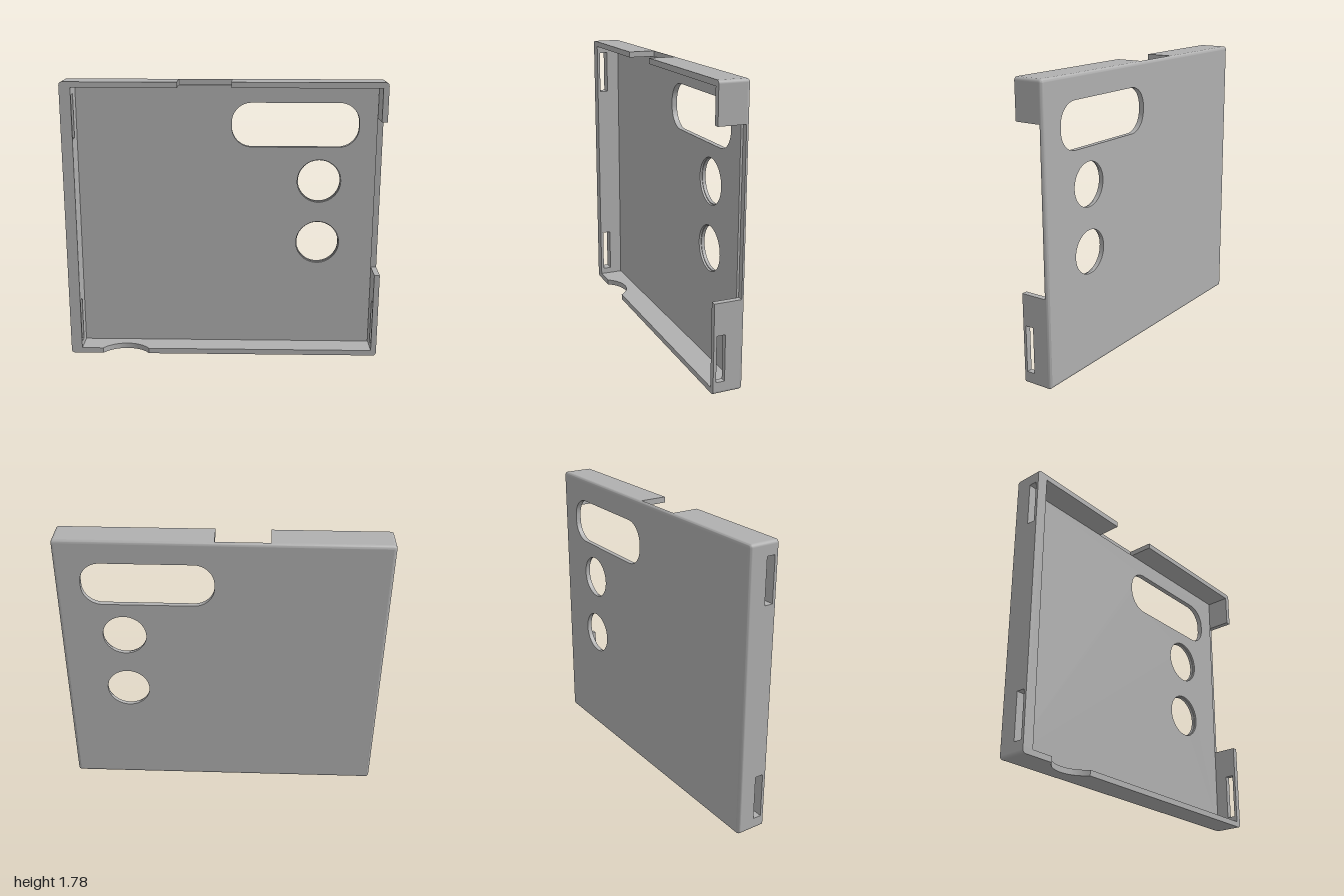
import * as THREE from 'three';
import { toCreasedNormals } from 'three/addons/utils/BufferGeometryUtils.js';

const H = 1.78, FRONT = 0.093, BACK = -0.093, R = 0.02;
const GROOVE = -0.073, FLOOR = -0.06; // bottom of the edge cut-outs, inner floor

function rect(path, x0, y0, x1, y1) {
  path.moveTo(x0, y0);
  path.lineTo(x1, y0);
  path.lineTo(x1, y1);
  path.lineTo(x0, y1);
  path.closePath();
  return path;
}

function pill(x0, y0, x1, y1, r) {
  const p = new THREE.Path();
  p.moveTo(x0 + r, y0);
  p.lineTo(x1 - r, y0);
  p.absarc(x1 - r, y0 + r, r, -Math.PI / 2, 0);
  p.lineTo(x1, y1 - r);
  p.absarc(x1 - r, y1 - r, r, 0, Math.PI / 2);
  p.lineTo(x0 + r, y1);
  p.absarc(x0 + r, y1 - r, r, Math.PI / 2, Math.PI);
  p.lineTo(x0, y0 + r);
  p.absarc(x0 + r, y0 + r, r, Math.PI, Math.PI * 1.5);
  return p;
}

// Extrude a shape along an axis from a to b
function extrude(shape, axis, a, b) {
  const g = new THREE.ExtrudeGeometry(shape, { depth: b - a, bevelEnabled: false, curveSegments: 24 });
  g.translate(0, 0, a);
  if (axis === 'x') g.rotateY(Math.PI / 2); // shape x becomes -z
  if (axis === 'y') g.rotateX(-Math.PI / 2); // shape y becomes -z
  return toCreasedNormals(g, 0.5);
}

// Flat panel with the three openings
function panel(x0, y0, x1, y1, z0, z1, r) {
  const s = rect(new THREE.Shape(), x0, y0, x1, y1);
  s.holes.push(pill(0.05, 1.355, 0.85, 1.635, 0.125));
  for (const y of [1.135, 0.728]) s.holes.push(new THREE.Path().absarc(0.607, y, r, 0, Math.PI * 2));
  return extrude(s, 'z', z0, z1);
}

// Rounded rim around the back edge, lofted from loops
function rimGeometry() {
  const profile = [];
  for (let i = 0; i <= 6; i++) {
    const t = (i / 6) * Math.PI / 2;
    profile.push([R * Math.sin(t), GROOVE - R * Math.cos(t)]);
  }
  profile.push([0, GROOVE]);
  const corners = [[1 - R, R], [1 - R, H - R], [R - 1, H - R], [R - 1, R]];
  const pos = [], idx = [], seg = 5, n = 4 * (seg + 1);
  for (const [r, z] of profile) {
    corners.forEach(([cx, cy], k) => {
      for (let i = 0; i <= seg; i++) {
        const a = (k - 1 + i / seg) * Math.PI / 2;
        pos.push(cx + r * Math.cos(a), cy + r * Math.sin(a), z);
      }
    });
  }
  for (let j = 0; j < profile.length - 1; j++) {
    for (let i = 0; i < n; i++) {
      const a = j * n + i, b = j * n + (i + 1) % n;
      idx.push(a, b, b + n, a, b + n, a + n);
    }
  }
  const g = new THREE.BufferGeometry();
  g.setAttribute('position', new THREE.Float32BufferAttribute(pos, 3));
  g.setIndex(idx);
  return toCreasedNormals(g, 0.6);
}

// Side wall between two heights, with strap slots
function sideWall(x0, x1, y0, y1, slots) {
  const s = rect(new THREE.Shape(), -FRONT, y0, -GROOVE, y1);
  for (const [a, b] of slots) s.holes.push(rect(new THREE.Path(), -0.075, a, -0.022, b));
  return extrude(s, 'x', x0, x1);
}

export function createModel() {
  const group = new THREE.Group();
  const grey = new THREE.MeshStandardMaterial({ color: 0xb0b0b0 });
  grey.name = 'grey plastic';
  const add = (name, geometry) => {
    const m = new THREE.Mesh(geometry, grey);
    m.name = name;
    group.add(m);
    return m;
  };

  // Back: outer skin, rounded rim, raised inner floor
  add('backPanel', panel(R - 1, R, 1 - R, H - R, BACK, GROOVE, 0.134));
  add('backRim', rimGeometry());
  add('innerFloor', panel(-0.94, 0.03, 0.963, 1.745, GROOVE, FLOOR, 0.139));

  // Side walls; the right-hand one is open in the middle
  const low = [0.075, 0.36], high = [1.425, 1.70];
  add('slottedWall', sideWall(-1, -0.93, R, H - R, [low, high]));
  add('openWallLower', sideWall(0.965, 1, R, 0.555, [low]));
  add('openWallUpper', sideWall(0.965, 1, 1.54, H - R, []));

  // Top wall in two pieces around its gap
  for (const [name, a, b] of [['topWallLong', 0.05, 1 - R], ['topWallShort', R - 1, -0.28]]) {
    add(name, extrude(rect(new THREE.Shape(), a, 1.745, b, H), 'z', GROOVE, FRONT));
  }

  // Bottom wall with a curved finger notch in its front edge
  const s = new THREE.Shape();
  const half = 0.15, depth = 0.08, rad = (half * half + depth * depth) / (2 * depth);
  const cy = -FRONT + depth - rad, ang = Math.asin(half / rad);
  s.moveTo(R - 1, -FRONT);
  s.lineTo(-0.64 - half, -FRONT);
  s.absarc(-0.64, cy, rad, Math.PI / 2 + ang, Math.PI / 2 - ang, true);
  s.lineTo(1 - R, -FRONT);
  s.lineTo(1 - R, -GROOVE);
  s.lineTo(R - 1, -GROOVE);
  s.closePath();
  add('bottomWall', extrude(s, 'y', 0, 0.035));

  // Rounded outer corners
  for (const x of [R - 1, 1 - R]) {
    for (const y of [R, H - R]) {
      const g = new THREE.CylinderGeometry(R, R, FRONT - GROOVE, 20);
      g.rotateX(Math.PI / 2);
      add('cornerPost', g).position.set(x, y, (FRONT + GROOVE) / 2);
    }
  }
  return group;
}
